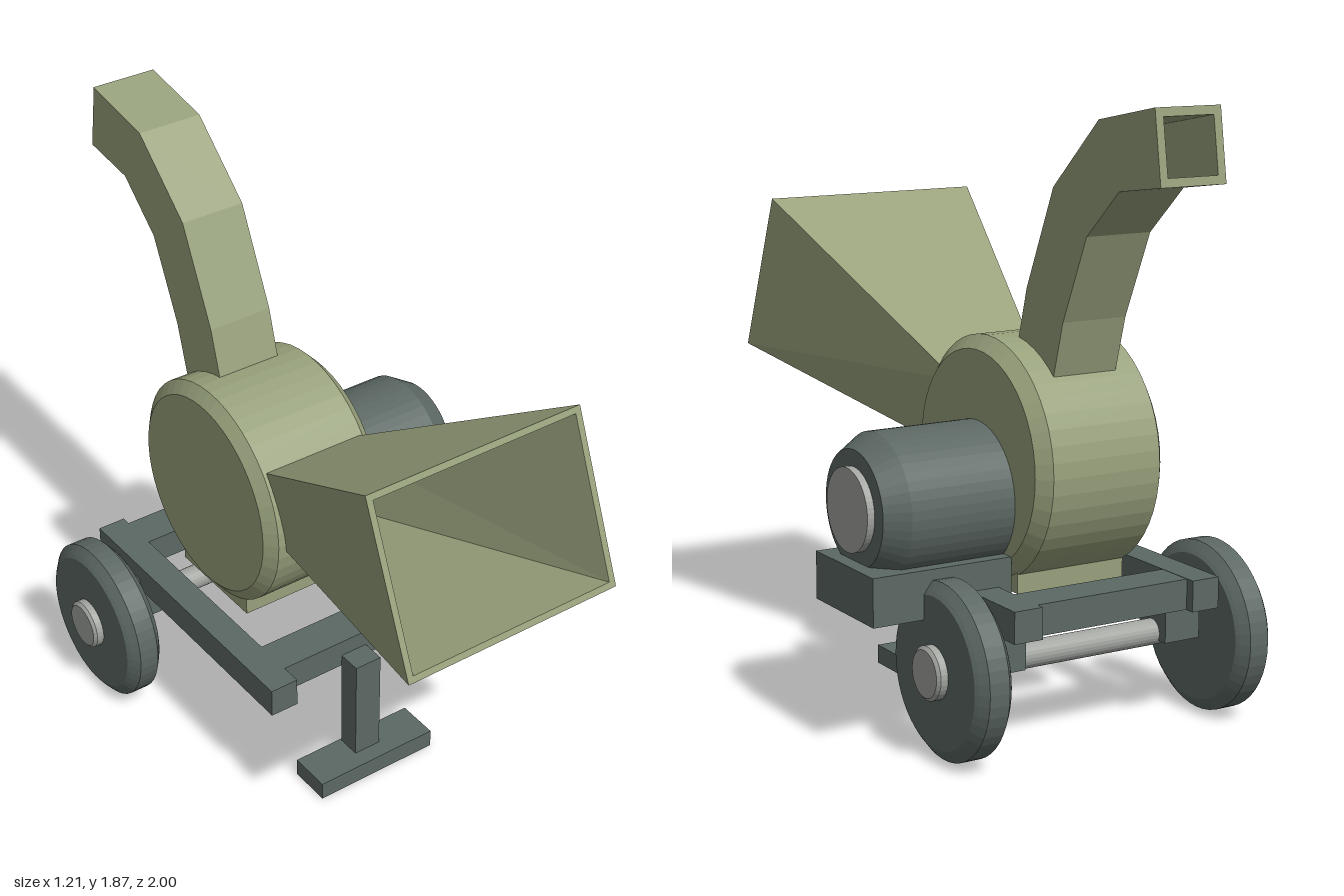
import * as THREE from 'three';

const paint = (name, color) => {
  const m = new THREE.MeshStandardMaterial({ color });
  m.name = name;
  return m;
};

export function createModel() {
  const model = new THREE.Group();
  model.name = 'woodChipper';
  const olive = paint('olive paint', 0x98a17c);
  const grey = paint('dark grey metal', 0x5c6864);
  const steel = paint('light steel', 0xa2a5a0);

  const add = (name, geo, mat) => {
    const flat = geo.index ? geo.toNonIndexed() : geo;
    flat.computeVertexNormals();
    const mesh = new THREE.Mesh(flat, mat);
    mesh.name = name;
    model.add(mesh);
    return mesh;
  };

  // Box given by its limits on each axis
  const box = (name, mat, [x0, x1], [y0, y1], [z0, z1]) =>
    add(name, new THREE.BoxGeometry(x1 - x0, y1 - y0, z1 - z0)
      .translate((x0 + x1) / 2, (y0 + y1) / 2, (z0 + z1) / 2), mat);

  // Solid turned about an axis parallel to x; profile holds [x, radius]
  const turned = (name, mat, y, z, profile, sides = 48) => {
    const pts = profile.map(([x, r]) => new THREE.Vector2(r, x));
    pts.unshift(new THREE.Vector2(0, profile[0][0]));
    pts.push(new THREE.Vector2(0, profile[profile.length - 1][0]));
    return add(name, new THREE.LatheGeometry(pts, sides).rotateZ(-Math.PI / 2).translate(0, y, z), mat);
  };

  // Hollow four-sided duct; section = [z, y, halfWidth] for its two x-parallel edges
  const duct = (name, mat, cx, wall, sections) => {
    const ring = ([p, q], t) => {
      const len = Math.hypot(q[0] - p[0], q[1] - p[1]);
      const dz = (q[0] - p[0]) / len * t, dy = (q[1] - p[1]) / len * t;
      const corner = (e, side, s) => [cx + side * (e[2] - t), e[1] + s * dy, e[0] + s * dz];
      return [corner(p, -1, 1), corner(p, 1, 1), corner(q, 1, -1), corner(q, -1, -1)];
    };
    const outer = sections.map((s) => ring(s, 0));
    const inner = sections.map((s) => ring(s, wall));
    const pos = [];
    const quad = (a, b, c, d) => pos.push(...a, ...b, ...c, ...a, ...c, ...d);
    const last = sections.length - 1;
    for (let k = 0; k < 4; k++) {
      const n = (k + 1) % 4;
      for (let i = 0; i < last; i++) {
        quad(outer[i][k], outer[i + 1][k], outer[i + 1][n], outer[i][n]);
        quad(inner[i][k], inner[i][n], inner[i + 1][n], inner[i + 1][k]);
      }
      quad(outer[last][k], inner[last][k], inner[last][n], outer[last][n]); // rim
    }
    const geo = new THREE.BufferGeometry();
    geo.setAttribute('position', new THREE.Float32BufferAttribute(pos, 3));
    return add(name, geo, mat);
  };

  // Cutting drum and its base
  turned('drum', olive, 0.805, -0.245,
    [[-0.28, 0.325], [-0.25, 0.365], [0.115, 0.365], [0.152, 0.325]]);
  box('drumBase', olive, [-0.25, 0.12], [0.43, 0.5], [-0.425, -0.065]);

  // Feed hopper, flaring from the drum to the mouth
  duct('hopper', olive, -0.067, 0.02, [
    [[-0.02, 0.994, 0.155], [0.05, 0.764, 0.138]],
    [[0.795, 1.48, 0.367], [1.0, 0.975, 0.367]],
  ]);

  // Discharge chute, bending up and back
  const w = 0.107;
  duct('chute', olive, -0.067, 0.025, [
    [[-0.455, 0.96, w], [-0.27, 1.06, w]],
    [[-0.535, 1.24, w], [-0.342, 1.315, w]],
    [[-0.652, 1.497, w], [-0.48, 1.62, w]],
    [[-0.807, 1.636, w], [-0.706, 1.824, w]],
    [[-1.0, 1.663, w], [-0.968, 1.872, w]],
  ]);

  // Engine with end cap, badge and mount
  turned('engine', grey, 0.703, -0.245, [[0.14, 0.218], [0.49, 0.218], [0.56, 0.175]]);
  turned('engineCap', steel, 0.703, -0.245, [[0.55, 0.125], [0.583, 0.125]]);
  box('engineBadge', olive, [0.31, 0.415], [0.67, 0.74], [-0.05, -0.014]);
  box('engineMount', grey, [0.15, 0.605], [0.405, 0.55], [-0.44, -0.09]);

  // Frame
  const beamY = [0.37, 0.465];
  for (const [x0, x1] of [[-0.42, -0.327], [0.193, 0.286]]) {
    box('sideRail', grey, [x0, x1], beamY, [-0.678, 0.322]);
    box('axleBracket', grey, [x0 - 0.015, x1 + 0.015], [0.247, 0.41], [-0.565, -0.43]);
  }
  for (const z of [[0.13, 0.255], [-0.648, -0.523]]) {
    box('crossBeam', grey, [-0.34, 0.2], [0.371, 0.464], z);
  }

  // Front stand
  box('standLeg', grey, [-0.112, -0.02], [0.05, 0.41], [0.255, 0.332]);
  box('standFoot', grey, [-0.28, 0.145], [0, 0.06], [0.25, 0.387]);

  // Axle, wheels and hubs
  const ay = 0.262, az = -0.495;
  turned('axle', steel, 0.267, az, [[-0.56, 0.04], [0.43, 0.04]], 24);
  for (const side of [-1, 1]) {
    const cx = -0.067 + side * 0.448;
    turned('wheel', grey, ay, az, [[cx - 0.06, 0.225], [cx - 0.052, 0.237], [cx - 0.032, 0.262],
      [cx + 0.032, 0.262], [cx + 0.052, 0.237], [cx + 0.06, 0.225]]);
    const hub = [[0.05, 0.08], [0.083, 0.08], [0.092, 0.07]].map(([d, r]) => [cx + side * d, r]);
    turned('hub', steel, 0.265, az, side > 0 ? hub : hub.reverse(), 32);
  }
  return model;
}
